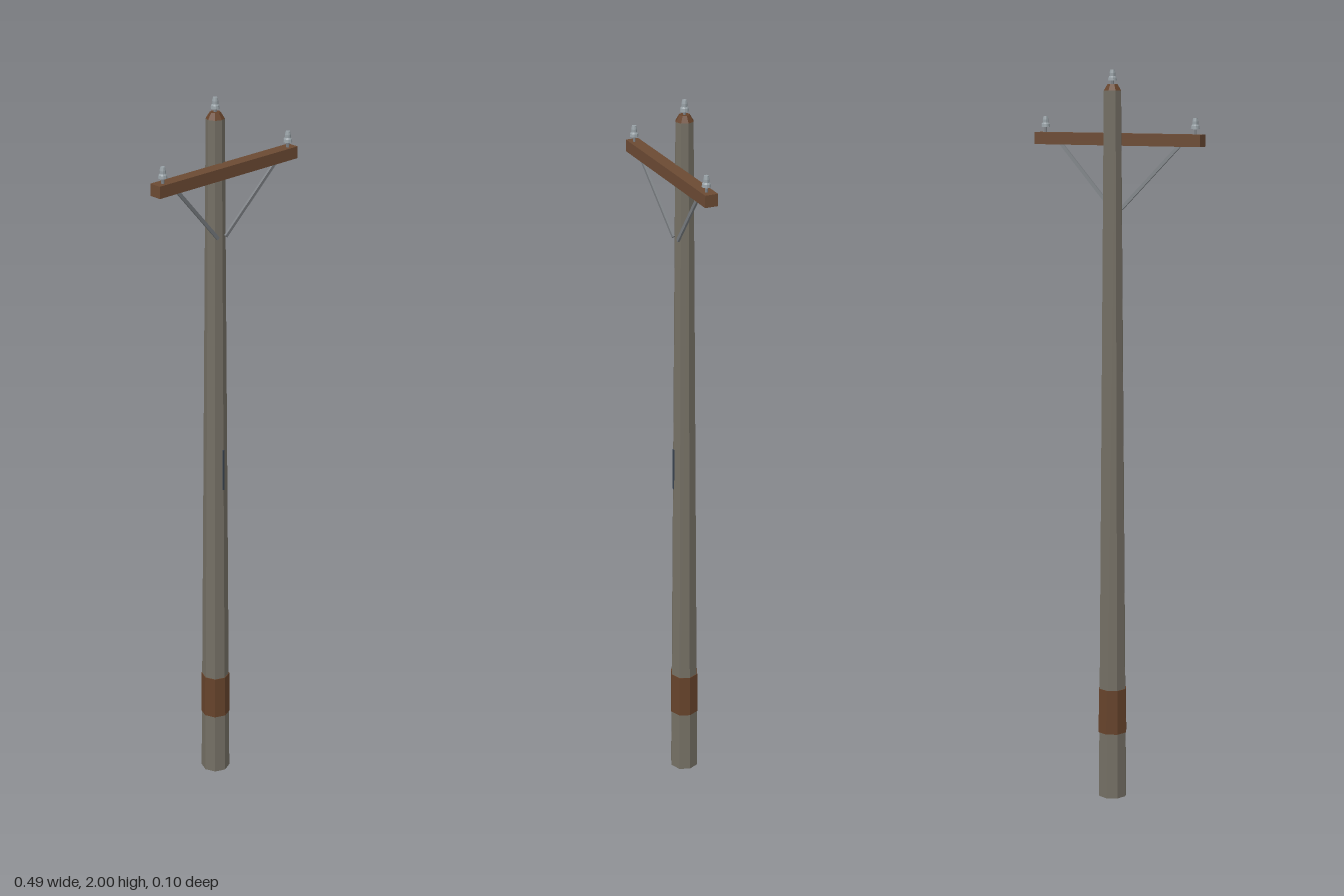
import * as THREE from 'three';

const mat = (name, color, side = THREE.FrontSide) =>
  Object.assign(new THREE.MeshStandardMaterial({ color, flatShading: true, side }), { name });

export function createModel() {
  const model = new THREE.Group();
  model.name = 'utilityPole';

  const weathered = mat('weatheredWood', 0x746f64);
  const brown = mat('brownWood', 0x6b4a33);
  const rust = mat('rustBrown', 0x66432b);
  const steel = mat('galvanisedSteel', 0x7c8084);
  const glass = mat('paleInsulator', 0x98a1a6);
  const darkBlue = mat('darkBlueTag', 0x3c4654);

  const poleZ = -0.009;
  const radiusAt = (y) => 0.0405 - (0.0405 - 0.0245) * (y / 1.945);

  const add = (name, geometry, material, x = 0, y = 0, z = 0, parent = model) => {
    const mesh = new THREE.Mesh(geometry, material);
    mesh.name = name;
    mesh.position.set(x, y, z);
    parent.add(mesh);
    return mesh;
  };

  // Tapered eight-sided pole with a bevelled cap
  add('pole', new THREE.CylinderGeometry(radiusAt(1.945), radiusAt(0), 1.945, 8), weathered, 0, 0.9725, poleZ);
  add('poleCap', new THREE.CylinderGeometry(0.014, 0.0245, 0.017, 8), rust, 0, 1.9535, poleZ);

  // Band around the foot
  add('baseBand', new THREE.CylinderGeometry(radiusAt(0.31) + 0.002, radiusAt(0.185) + 0.002, 0.125, 8),
    rust, 0, 0.2475, poleZ);

  // Narrow tag on the front edge of the pole
  add('tag', new THREE.BoxGeometry(0.006, 0.12, 0.004), darkBlue, 0, 0.965, poleZ + radiusAt(0.965) - 0.001);

  // Crossarm
  add('crossarm', new THREE.BoxGeometry(0.486, 0.032, 0.035), brown, 0, 1.816, 0.0305);

  // Insulator: steel pin, flared skirt and narrow head
  const insulator = (x, y, z) => {
    const group = new THREE.Group();
    group.name = 'insulator';
    group.position.set(x, y, z);
    model.add(group);
    add('pin', new THREE.CylinderGeometry(0.004, 0.004, 0.02, 8), steel, 0, 0.008, 0, group);
    const profile = [[0, 0.014], [0.012, 0.014], [0.011, 0.022], [0.008, 0.026],
      [0.008, 0.034], [0.006, 0.043], [0, 0.043]].map(([r, h]) => new THREE.Vector2(r, h));
    add('insulatorBody', new THREE.LatheGeometry(profile, 10), glass, 0, 0, 0, group);
  };
  insulator(-0.22, 1.832, 0.034);
  insulator(0.22, 1.832, 0.034);
  insulator(0, 1.957, poleZ);

  // Diagonal braces from the pole to the crossarm
  for (const side of [-1, 1]) {
    const low = new THREE.Vector3(side * 0.014, 1.632, 0.016);
    const high = new THREE.Vector3(side * 0.178, 1.806, 0.036);
    const brace = add('brace', new THREE.BoxGeometry(0.009, low.distanceTo(high), 0.006), steel);
    brace.position.copy(low).lerp(high, 0.5);
    brace.quaternion.setFromUnitVectors(new THREE.Vector3(0, 1, 0), high.clone().sub(low).normalize());
  }

  return model;
}
